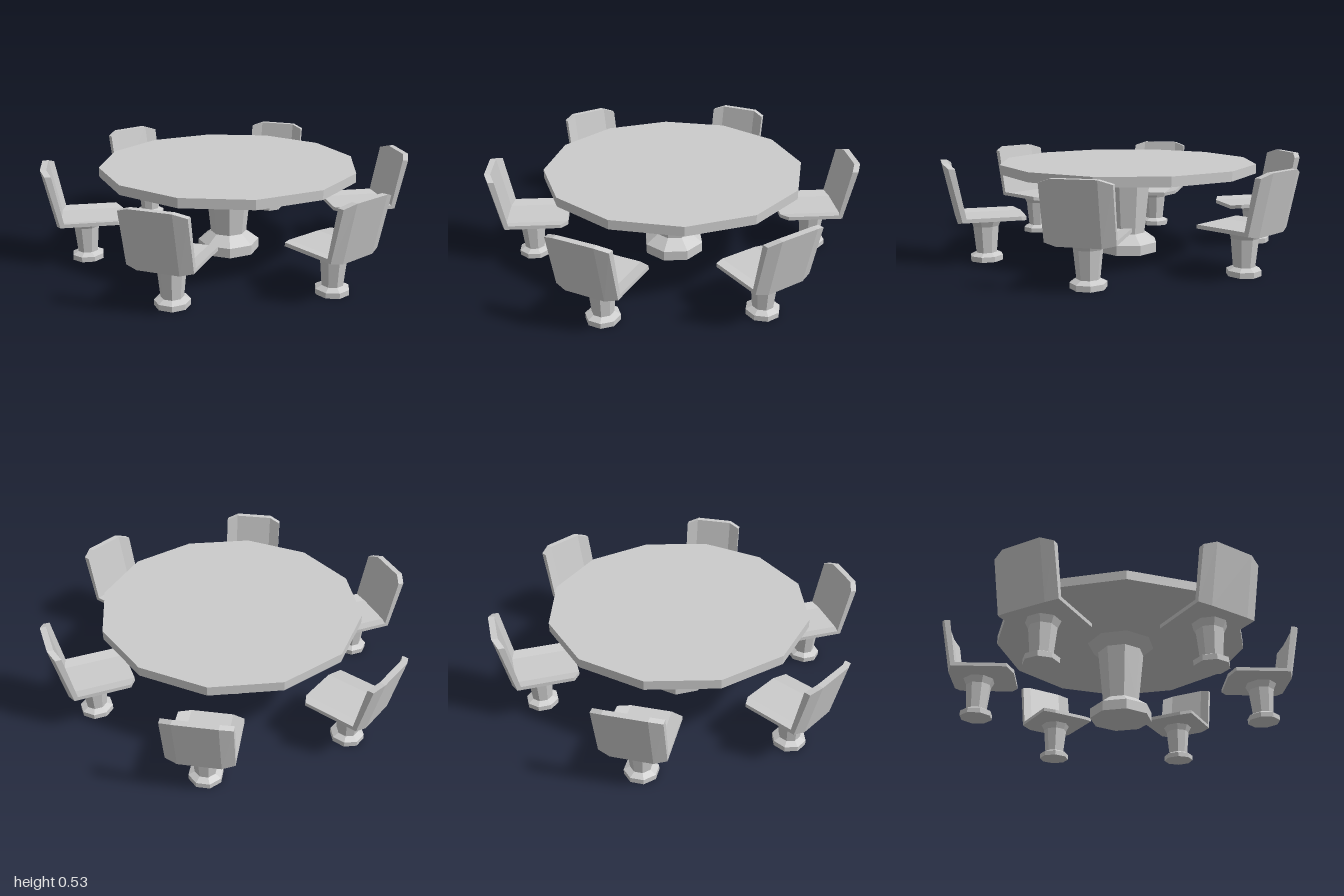
import * as THREE from 'three';

const grey = new THREE.MeshStandardMaterial({ color: 0xcccccc, flatShading: true });

function part(name, geometry) {
  const mesh = new THREE.Mesh(geometry, grey);
  mesh.name = name;
  return mesh;
}

// Eight-sided turned pedestal from [radius, height] pairs, flat side forward
function pedestal(name, profile) {
  const points = profile.map(([r, y]) => new THREE.Vector2(r, y));
  return part(name, new THREE.LatheGeometry(points, 8, Math.PI / 8));
}

// One-piece seat and backrest: an L profile (z, y) lofted across four columns,
// with the outer strips folded gently towards the sitter
function shellGeometry() {
  const middle = [[0.583, 0.22], [0.935, 0.22], [1.0, 0.53], [0.968, 0.53], [0.913, 0.24], [0.583, 0.24]];
  const side = [[0.618, 0.232], [0.915, 0.232], [0.975, 0.508], [0.943, 0.508], [0.895, 0.252], [0.618, 0.252]];
  const columns = [[-0.167, side], [-0.105, middle], [0.105, middle], [0.167, side]];
  const positions = columns.flatMap(([x, p]) => p.flatMap(([z, y]) => [x, y, z]));
  const index = [];
  const quad = (a, b, c, d) => index.push(a, b, c, a, c, d);
  const n = middle.length;
  for (let i = 0; i < 3; i++) {
    for (let k = 0; k < n; k++) {
      const a = i * n + k, b = i * n + (k + 1) % n;
      quad(a, a + n, b + n, b);
    }
  }
  // Side caps: seat edge and backrest edge
  for (const [a, b, c, d] of [[0, 1, 4, 5], [1, 2, 3, 4]]) {
    quad(a, b, c, d);
    const o = 3 * n;
    quad(d + o, c + o, b + o, a + o);
  }
  const geometry = new THREE.BufferGeometry();
  geometry.setAttribute('position', new THREE.Float32BufferAttribute(positions, 3));
  geometry.setIndex(index);
  const flat = geometry.toNonIndexed();
  flat.computeVertexNormals();
  return flat;
}

export function createModel() {
  const model = new THREE.Group();
  model.name = 'tableWithChairs';

  // Table
  const table = new THREE.Group();
  table.name = 'table';
  const top = part('tableTop', new THREE.CylinderGeometry(0.703, 0.703, 0.05, 12));
  top.position.y = 0.478;
  table.add(top, pedestal('tablePedestal', [
    [0, 0], [0.17, 0], [0.17, 0.055], [0.1, 0.105], [0.13, 0.4], [0.192, 0.455], [0, 0.455],
  ]));
  model.add(table);

  // Six chairs around the table
  const shell = shellGeometry();
  for (let i = 0; i < 6; i++) {
    const chair = new THREE.Group();
    chair.name = 'chair' + (i + 1);
    const leg = pedestal('chairPedestal', [
      [0, 0], [0.088, 0], [0.088, 0.028], [0.056, 0.044], [0.07, 0.185], [0.088, 0.222], [0, 0.222],
    ]);
    leg.position.z = 0.785;
    chair.add(leg, part('seatAndBack', shell));
    chair.rotation.y = i * Math.PI / 3;
    model.add(chair);
  }
  return model;
}
